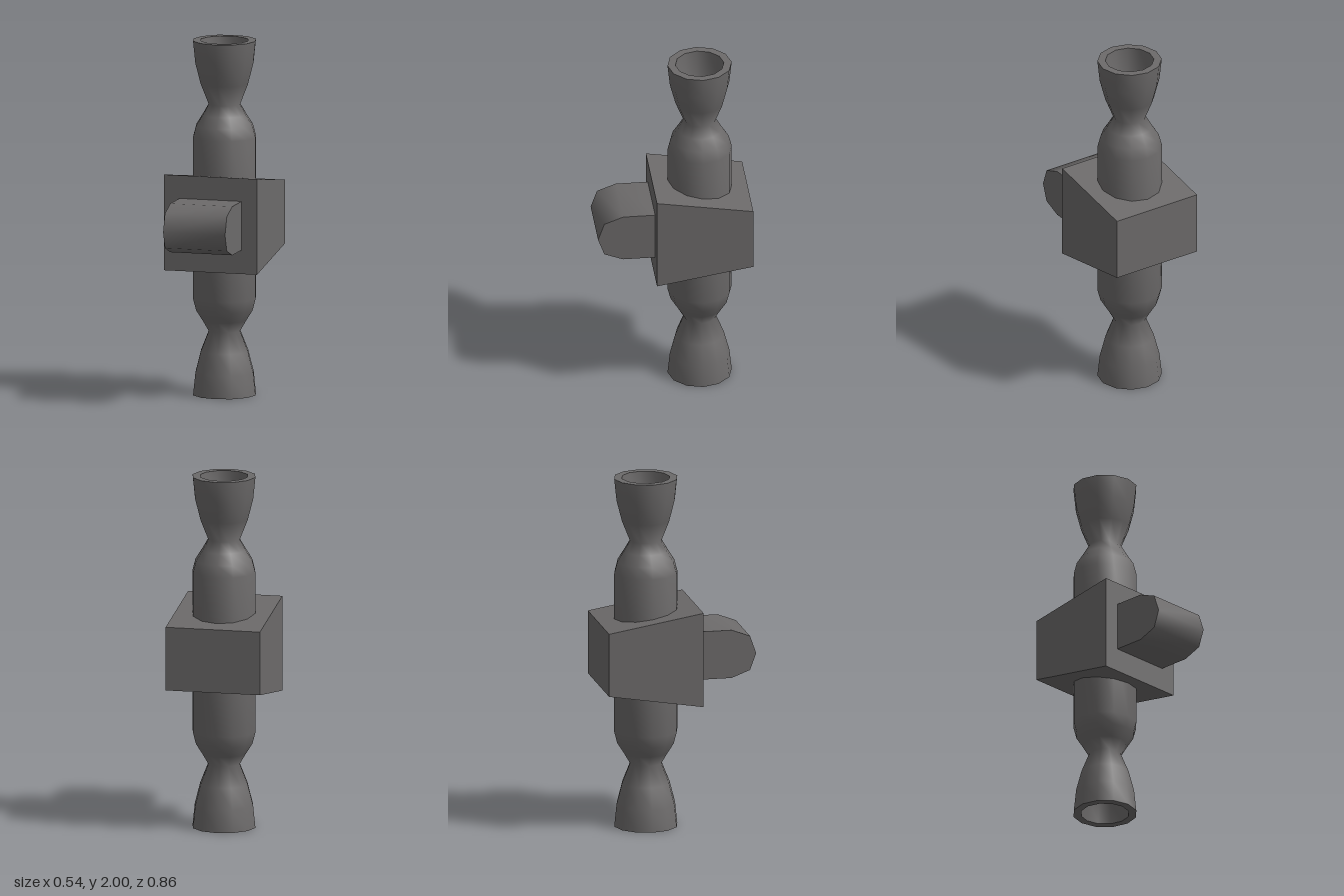
import * as THREE from 'three';
import { toCreasedNormals } from 'three/addons/utils/BufferGeometryUtils.js';

const material = new THREE.MeshStandardMaterial({ color: 0x6c6a6a });
material.name = 'dark grey metal';

function part(name, geometry) {
  const mesh = new THREE.Mesh(toCreasedNormals(geometry, 1.1), material);
  mesh.name = name;
  return mesh;
}

// Side outline given as [z, y] points, extruded across x and centred.
function sideExtrusion(points, width) {
  const shape = new THREE.Shape(points.map(([z, y]) => new THREE.Vector2(z, y)));
  const geometry = new THREE.ExtrudeGeometry(shape, { depth: width, bevelEnabled: false });
  return geometry.translate(0, 0, -width / 2).rotateY(-Math.PI / 2);
}

export function createModel() {
  const model = new THREE.Group();
  model.name = 'thruster';

  // Housing, tapering to the back
  model.add(part('housing', sideExtrusion(
    [[0.11, 0.73], [0.11, 1.27], [-0.43, 1.18], [-0.43, 0.82]], 0.54)));

  // Rounded mounting lug on the front
  model.add(part('mountingLug', sideExtrusion(
    [[0.1, 0.865], [0.29, 0.865], [0.395, 0.905], [0.43, 1.0],
      [0.395, 1.1], [0.29, 1.14], [0.1, 1.14]], 0.36)));

  // Nozzle: chamber, throat, flared bell, rim and hollow inside, as [radius, height]
  const profile = [
    [0.18, 0], [0.18, 0.455], [0.163, 0.52], [0.125, 0.58], [0.09, 0.64],
    [0.136, 0.755], [0.167, 0.875], [0.18, 1],
    [0.136, 1], [0.124, 0.875], [0.098, 0.755], [0.05, 0.67], [0, 0.65],
  ].map(([r, y]) => new THREE.Vector2(r, y));

  for (const [name, turn] of [['upperNozzle', 0], ['lowerNozzle', Math.PI]]) {
    const nozzle = part(name, new THREE.LatheGeometry(profile, 12));
    nozzle.position.set(0, 1, -0.16);
    nozzle.rotation.x = turn;
    model.add(nozzle);
  }

  return model;
}
